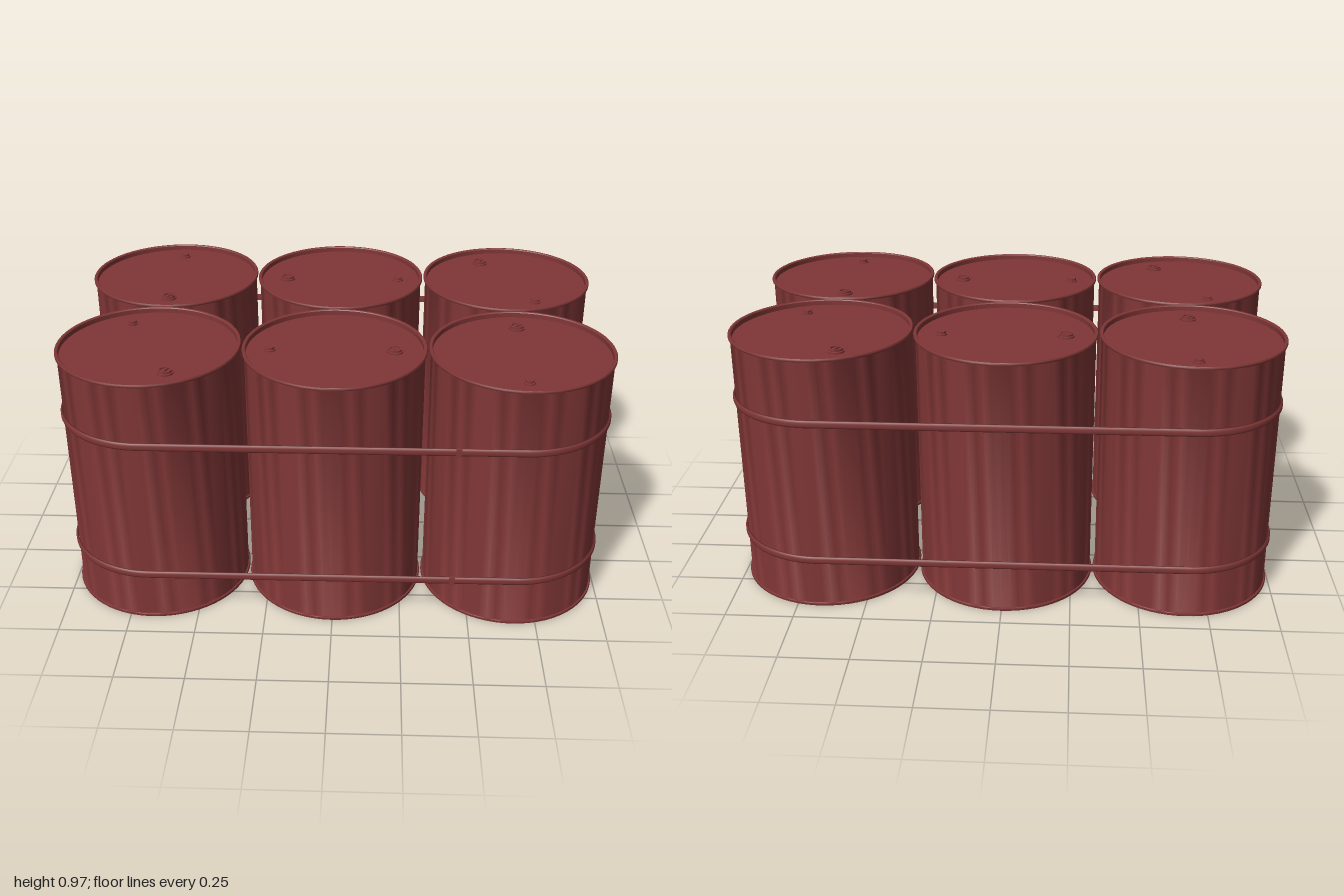
import * as THREE from 'three';
import { toCreasedNormals } from 'three/addons/utils/BufferGeometryUtils.js';

const SPACING = 0.667, FRONT_Z = 0.332, BACK_Z = -0.342;
const HEIGHT = 0.967, LID_Y = 0.947;

// Revolved solid with crisp edges from [radius, y] pairs, bottom to top
function lathe(pairs, segments) {
  const points = pairs.map(([r, y]) => new THREE.Vector2(r, y));
  return toCreasedNormals(new THREE.LatheGeometry(points, segments), 0.6);
}

// Strap: a ring whose four quarters are moved out to the corner drums
function strapGeometry() {
  const points = [[0.325, -0.014], [0.33, -0.013], [0.333, -0.006], [0.333, 0.006],
    [0.33, 0.013], [0.325, 0.014], [0.325, -0.014]].map(([r, y]) => new THREE.Vector2(r, y));
  const segments = 96;
  const geometry = new THREE.LatheGeometry(points, segments, Math.PI / segments);
  const p = geometry.attributes.position;
  for (let i = 0; i < p.count; i++) {
    p.setX(i, p.getX(i) + Math.sign(p.getX(i)) * SPACING);
    p.setZ(i, p.getZ(i) + (p.getZ(i) > 0 ? FRONT_Z : BACK_Z));
  }
  return geometry;
}

export function createModel() {
  const model = new THREE.Group();
  model.name = 'strappedDrums';
  const red = new THREE.MeshStandardMaterial({ color: 0x803636 });
  red.name = 'dark red paint';

  function add(parent, name, geometry, x, y, z) {
    const mesh = new THREE.Mesh(geometry, red);
    mesh.name = name;
    mesh.position.set(x, y, z);
    parent.add(mesh);
    return mesh;
  }

  // Drum shell with rolled rims and a sunken lid
  const shell = lathe([
    [0, 0.004], [0.318, 0.004], [0.321, 0], [0.329, 0], [0.331, 0.003], [0.331, 0.009],
    [0.329, 0.012], [0.324, 0.012], [0.324, HEIGHT - 0.012], [0.329, HEIGHT - 0.012],
    [0.331, HEIGHT - 0.009], [0.331, HEIGHT - 0.003], [0.329, HEIGHT], [0.321, HEIGHT],
    [0.318, HEIGHT - 0.003], [0.318, LID_Y], [0, LID_Y]], 64);

  // Filler cap with a recessed centre, and a small vent plug
  const fillerCap = lathe([[0.03, 0], [0.03, 0.006], [0.025, 0.007], [0.025, 0.014],
    [0.018, 0.014], [0.018, 0.008], [0, 0.008]], 20);
  const capBar = new THREE.BoxGeometry(0.037, 0.005, 0.007);
  const ventPlug = lathe([[0.021, 0], [0.021, 0.005], [0.016, 0.006], [0.016, 0.014], [0, 0.014]], 8);

  // Each drum: x, z and the turn of its caps
  const drums = [
    [-SPACING, BACK_Z, 0], [0, BACK_Z, -Math.PI / 2], [SPACING, BACK_Z, Math.PI + 0.43],
    [-SPACING, FRONT_Z, 0.43], [0, FRONT_Z, Math.PI / 2], [SPACING, FRONT_Z, Math.PI]];
  for (const [x, z, turn] of drums) {
    const drum = new THREE.Group();
    drum.name = 'drum';
    drum.position.set(x, 0, z);
    drum.rotation.y = turn;
    add(drum, 'drumShell', shell, 0, 0, 0);
    add(drum, 'fillerCap', fillerCap, 0, LID_Y, 0.215);
    add(drum, 'fillerCapBar', capBar, 0, LID_Y + 0.01, 0.215).rotation.y = 0.7;
    add(drum, 'ventPlug', ventPlug, 0, LID_Y, -0.232);
    model.add(drum);
  }

  // Two straps around the stack, each with a crimped clip on the front
  const strap = strapGeometry();
  const clip = new THREE.BoxGeometry(0.02, 0.031, 0.012);
  for (const y of [0.19, 0.727]) {
    add(model, 'strap', strap, 0, y, 0);
    add(model, 'strapClip', clip, 0.435, y, FRONT_Z + 0.331);
  }
  return model;
}
